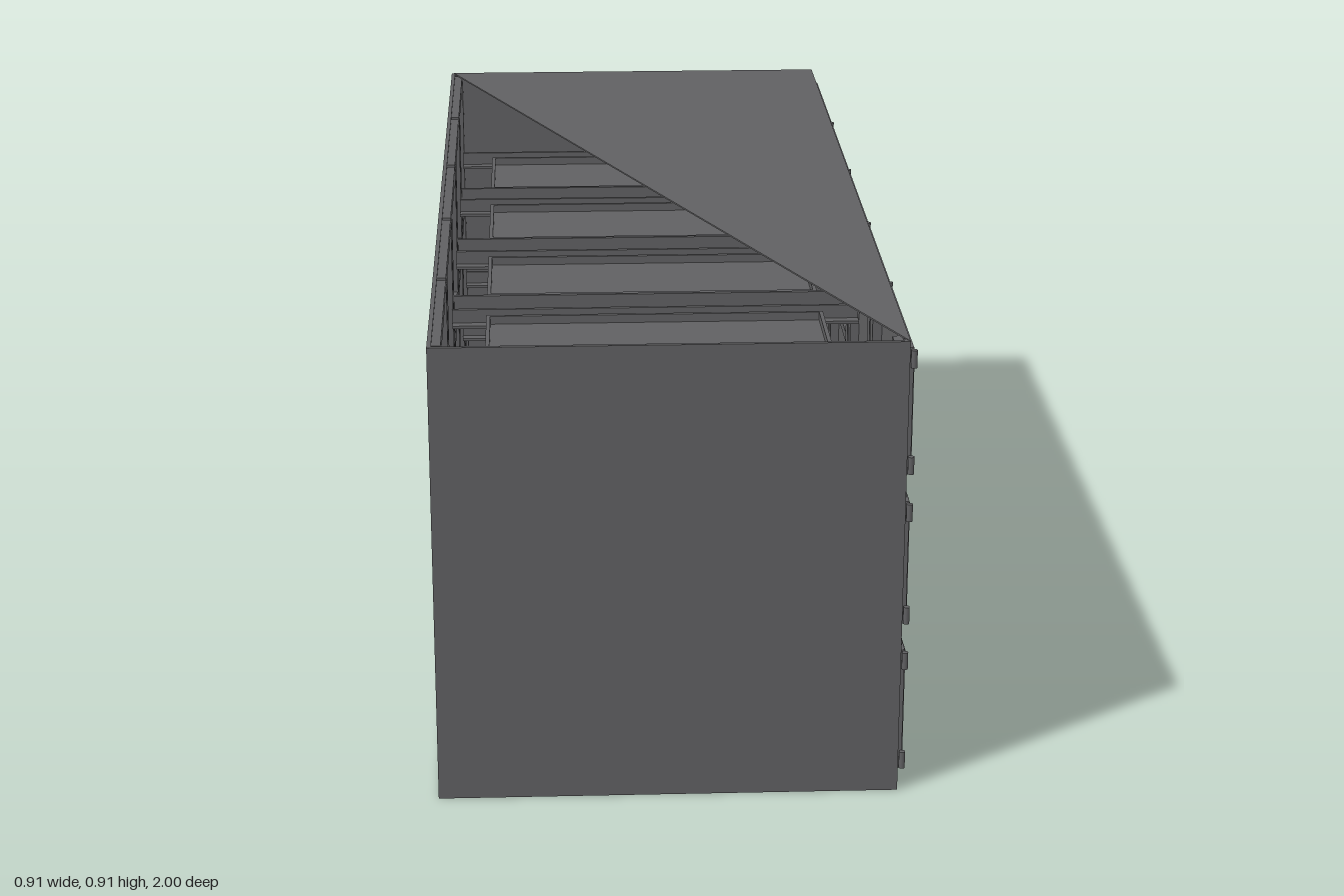
import * as THREE from 'three';

const steel = new THREE.MeshStandardMaterial({ color: 0x606062, side: THREE.DoubleSide });
steel.name = 'dark steel';

// Box given by its min and max corners
function box(parent, name, x0, x1, y0, y1, z0, z1) {
  const mesh = new THREE.Mesh(new THREE.BoxGeometry(x1 - x0, y1 - y0, z1 - z0), steel);
  mesh.position.set((x0 + x1) / 2, (y0 + y1) / 2, (z0 + z1) / 2);
  mesh.name = name;
  parent.add(mesh);
  return mesh;
}

function group(parent, name, y = 0, z = 0) {
  const g = new THREE.Group();
  g.name = name;
  g.position.set(0, y, z);
  parent.add(g);
  return g;
}

// Door with raised panel, two hinges and a lever latch; centred on y, z
function addDoor(parent, y, z) {
  const d = group(parent, 'door', y, z);
  box(d, 'doorPanel', 0.417, 0.428, -0.124, 0.124, -0.177, 0.177);
  box(d, 'doorFace', 0.428, 0.430, -0.118, 0.118, -0.171, 0.171);
  for (const s of [-1, 1]) {
    box(d, 'hingeStrap', 0.430, 0.433, s * 0.104 - 0.005, s * 0.104 + 0.005, 0.118, 0.182);
    const pin = new THREE.Mesh(new THREE.CylinderGeometry(0.006, 0.006, 0.034, 10), steel);
    pin.name = 'hingePin';
    pin.position.set(0.428, s * 0.104, 0.182);
    d.add(pin);
  }
  box(d, 'latchPlate', 0.417, 0.434, -0.012, 0.012, -0.188, -0.164);
  const knob = new THREE.Mesh(new THREE.CylinderGeometry(0.008, 0.008, 0.012, 12), steel);
  knob.name = 'latchKnob';
  knob.rotation.z = Math.PI / 2;
  knob.position.set(0.435, 0, -0.176);
  d.add(knob);
  box(d, 'latchLever', 0.434, 0.438, -0.058, 0.004, -0.169, -0.162);
  box(d, 'latchPin', 0.438, 0.455, -0.002, 0.002, -0.178, -0.174);
}

// Sliding tray on two angle rails, with cross bars underneath
function addTray(parent, y, z) {
  const t = group(parent, 'trayBay', y, z);
  box(t, 'trayFloor', -0.36, 0.33, 0, 0.005, -0.13, 0.13);
  for (const s of [-1, 1]) {
    box(t, 'trayRim', -0.36, 0.33, 0, 0.022, s * 0.127 - 0.004, s * 0.127 + 0.004);
    box(t, 'railFlange', -0.43, 0.405, -0.006, 0, s * 0.142 - 0.014, s * 0.142 + 0.014);
    box(t, 'railWeb', -0.43, 0.405, -0.006, 0.028, s * 0.153 - 0.004, s * 0.153 + 0.004);
  }
  for (const x of [-0.356, 0.326]) box(t, 'trayEnd', x - 0.004, x + 0.004, 0, 0.022, -0.13, 0.13);
  for (const x of [-0.22, 0, 0.22]) box(t, 'crossBar', x - 0.012, x + 0.012, -0.022, -0.006, -0.15, 0.15);
}

export function createModel() {
  const model = new THREE.Group();
  model.name = 'coldStorageCabinet';
  const H = 0.905;

  // Outer shell, open underneath
  const shell = group(model, 'shell');
  box(shell, 'frontWall', -0.447, 0.417, 0, H, 0.992, 1);
  box(shell, 'backWall', -0.447, 0.417, 0, H, -1, -0.992);
  box(shell, 'rearWall', -0.455, -0.447, 0, H, -1, 1);
  box(shell, 'doorWall', 0.408, 0.417, 0, H, -0.992, 0.992);

  // Triangular half roof
  const tri = new THREE.Shape([
    new THREE.Vector2(-0.45, 1), new THREE.Vector2(0.417, -1), new THREE.Vector2(0.417, 1),
  ]);
  const roofGeo = new THREE.ExtrudeGeometry(tri, { depth: 0.003, bevelEnabled: false });
  roofGeo.rotateX(-Math.PI / 2);
  const roof = new THREE.Mesh(roofGeo, steel);
  roof.name = 'roof';
  roof.position.y = H - 0.002;
  shell.add(roof);

  // Seams on the door side
  for (const y of [0.305, 0.604]) box(shell, 'rowSeam', 0.417, 0.419, y - 0.004, y + 0.004, -0.995, 0.995);
  for (const z of [-0.593, -0.198, 0.198, 0.593]) {
    box(shell, 'columnSeam', 0.417, 0.418, 0.003, H - 0.003, z - 0.002, z + 0.002);
  }

  // Five columns of three bays
  for (let c = -2; c <= 2; c++) {
    const z = c * 0.395;
    const column = group(model, 'column');
    for (let r = 0; r < 3; r++) {
      addDoor(column, 0.154 + r * 0.302, z);
      addTray(column, 0.09 + r * 0.302, z);
      // Rear frame rails of each bay
      const y = r * 0.302;
      box(column, 'rearRailLow', -0.447, -0.43, y, y + 0.025, z - 0.19, z + 0.19);
      box(column, 'rearRailHigh', -0.447, -0.43, y + 0.273, y + 0.298, z - 0.19, z + 0.19);
      box(column, 'doorSill', 0.392, 0.408, y, y + 0.02, z - 0.19, z + 0.19);
    }
    // Upright posts carrying the rails
    for (const s of [-1, 1]) {
      const pz = z + s * 0.172;
      box(column, 'rearPost', -0.447, -0.428, 0, H - 0.008, pz - 0.018, pz + 0.018);
      box(column, 'doorPost', 0.39, 0.408, 0, H - 0.008, pz - 0.018, pz + 0.018);
    }
  }
  return model;
}
